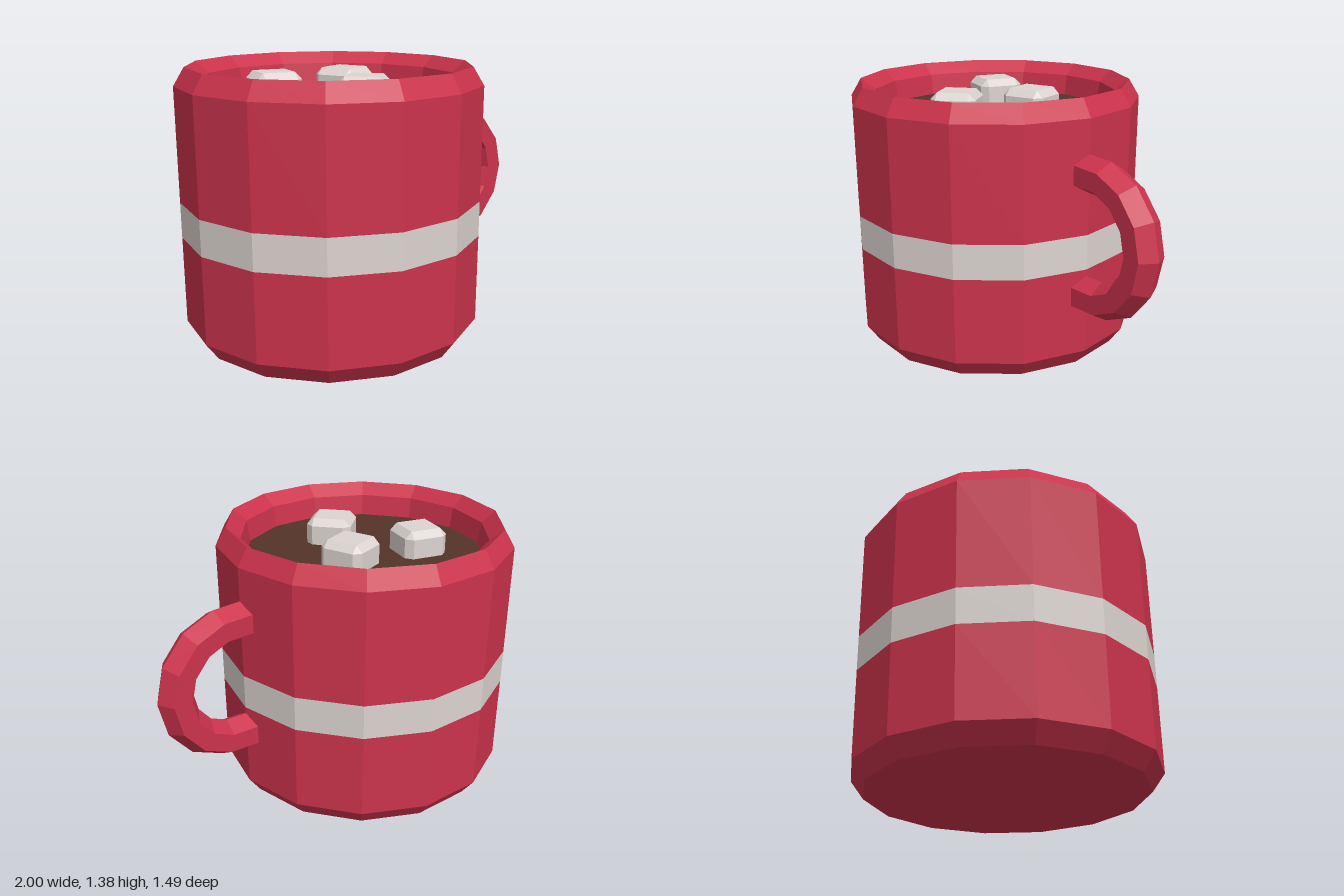
import * as THREE from 'three';
import { ConvexGeometry } from 'three/addons/geometries/ConvexGeometry.js';

const SIDES = 14;
const CUP_X = -0.237;

function material(name, color) {
  const m = new THREE.MeshStandardMaterial({ color, flatShading: true });
  m.name = name;
  return m;
}

// Faceted ring of the cup, swept from [radius, height] points
function band(profile) {
  const points = profile.map(([r, y]) => new THREE.Vector2(r, y));
  return new THREE.LatheGeometry(points, SIDES, Math.PI / 2);
}

// Box with all edges and corners cut off
function chamferedBox(w, h, d, cut) {
  const points = [];
  for (const sx of [-1, 1]) for (const sy of [-1, 1]) for (const sz of [-1, 1]) {
    for (let axis = 0; axis < 3; axis++) {
      const inset = [0, 1, 2].map((i) => (i === axis ? 0 : cut));
      points.push(new THREE.Vector3(
        sx * (w / 2 - inset[0]), sy * (h / 2 - inset[1]), sz * (d / 2 - inset[2])));
    }
  }
  return new ConvexGeometry(points);
}

// Hexagonal bar following the handle's curve, closed at both ends
function handleGeometry() {
  const cx = 0.595, cy = 0.715, bend = 0.31, thick = 0.095, n = 6;
  const path = [[0.505, cy + bend, 90]];
  for (const deg of [79, 53, 26.5, 0, -26.5, -53, -79]) {
    const a = THREE.MathUtils.degToRad(deg);
    path.push([cx + bend * Math.cos(a), cy + bend * Math.sin(a), deg]);
  }
  path.push([0.505, cy - bend, -90]);

  const positions = [], index = [];
  path.forEach(([x, y, deg], i) => {
    const a = THREE.MathUtils.degToRad(deg);
    for (let j = 0; j < n; j++) {
      const t = (j / n) * Math.PI * 2;
      const out = thick * Math.cos(t);
      positions.push(x + out * Math.cos(a), y + out * Math.sin(a), thick * Math.sin(t));
      if (i < path.length - 1) {
        const p = i * n + j, q = i * n + ((j + 1) % n);
        index.push(p, q, q + n, p, q + n, p + n);
      }
    }
  });
  const last = (path.length - 1) * n;
  for (let j = 1; j < n - 1; j++) {
    index.push(0, j + 1, j, last, last + j, last + j + 1);
  }
  const g = new THREE.BufferGeometry();
  g.setAttribute('position', new THREE.Float32BufferAttribute(positions, 3));
  g.setIndex(index);
  g.computeVertexNormals();
  return g;
}

export function createModel() {
  const red = material('red glaze', 0xcc334c);
  const white = material('off white', 0xdcd4d0);
  const brown = material('cocoa brown', 0x55332a);

  const model = new THREE.Group();
  model.name = 'mug';
  const add = (name, geometry, mat, x = 0, y = 0, z = 0) => {
    const mesh = new THREE.Mesh(geometry, mat);
    mesh.name = name;
    mesh.position.set(x, y, z);
    model.add(mesh);
    return mesh;
  };

  // Cup: base and lower wall, stripe, upper wall with rim and inside
  add('lowerCup', band([[0, 0], [0.692, 0], [0.757, 0.09], [0.76, 0.535]]), red, CUP_X);
  add('stripe', band([[0.76, 0.535], [0.761, 0.715]]), white, CUP_X);
  add('upperCup', band([[0.761, 0.715], [0.764, 1.29], [0.71, 1.38],
    [0.638, 1.32], [0.62, 1.2]]), red, CUP_X);

  // Drink
  add('cocoa', new THREE.CircleGeometry(0.625, SIDES).rotateX(-Math.PI / 2), brown, CUP_X, 1.21);

  // Floating marshmallows: x, z, turn
  const cube = chamferedBox(0.235, 0.2, 0.235, 0.035);
  [[-0.46, -0.165, -0.25], [-0.06, -0.11, 0.35], [-0.22, 0.25, 0.72]].forEach(([x, z, turn], i) => {
    add('marshmallow' + (i + 1), cube, white, x, 1.245, z).rotation.y = turn;
  });

  add('handle', handleGeometry(), red);
  return model;
}
